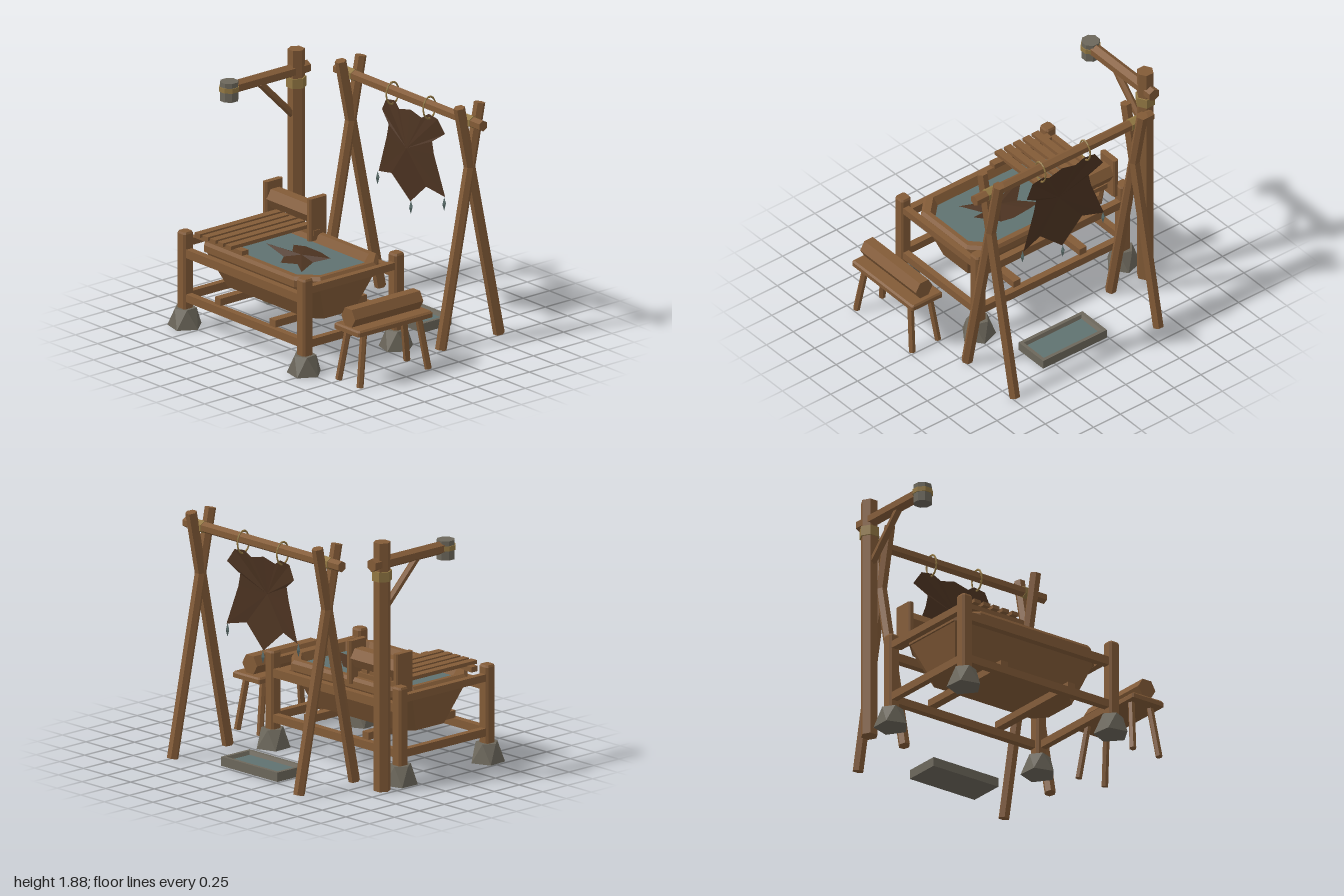
import * as THREE from 'three';
import { ConvexGeometry } from 'three/addons/geometries/ConvexGeometry.js';

const V = (x, y, z) => new THREE.Vector3(x, y, z);

export function createModel() {
  const root = new THREE.Group();
  const mat = (name, color, side = THREE.FrontSide) => {
    const m = new THREE.MeshStandardMaterial({ color, side });
    m.name = name;
    return m;
  };
  const wood = mat('wood', 0x835b37);
  const hide = mat('hide', 0x4c3321, THREE.DoubleSide);
  const stone = mat('stone', 0x6c675b);
  const rope = mat('rope', 0x937843);
  const liquid = mat('liquid', 0x5f7270);

  // Faceted normals for every part
  const add = (name, geo, material, parent = root) => {
    const g = geo.index ? geo.toNonIndexed() : geo;
    g.computeVertexNormals();
    const m = new THREE.Mesh(g, material);
    m.name = name;
    parent.add(m);
    return m;
  };
  const group = (name) => {
    const g = new THREE.Group();
    g.name = name;
    root.add(g);
    return g;
  };
  // Box given by its limits
  const box = (name, x0, x1, y0, y1, z0, z1, material, parent) =>
    add(name, new THREE.BoxGeometry(x1 - x0, y1 - y0, z1 - z0)
      .translate((x0 + x1) / 2, (y0 + y1) / 2, (z0 + z1) / 2), material, parent);
  // Many-sided log between two points
  const log = (name, a, b, r, material, parent, spin = 0, sides = 6) => {
    const d = b.clone().sub(a);
    const g = new THREE.CylinderGeometry(r, r, d.length(), sides).rotateY(spin);
    g.applyQuaternion(new THREE.Quaternion().setFromUnitVectors(V(0, 1, 0), d.clone().normalize()));
    const c = a.clone().add(b).multiplyScalar(0.5);
    return add(name, g.translate(c.x, c.y, c.z), material, parent);
  };
  // Loft of rectangles with cut corners; rings are [y, halfX, halfZ, cut]
  const loft = (cx, cz, rings, capBottom = true, capTop = true) => {
    const loops = rings.map(([y, w, d, c]) => [
      [w - c, d], [w, d - c], [w, c - d], [w - c, -d], [c - w, -d], [-w, c - d], [-w, d - c], [c - w, d],
    ].map(([x, z]) => [cx + x, y, cz + z]));
    const p = [];
    for (let i = 0; i < loops.length - 1; i++) {
      for (let j = 0; j < 8; j++) {
        const k = (j + 1) % 8, a = loops[i][j], b = loops[i][k], c = loops[i + 1][k], d = loops[i + 1][j];
        p.push(...a, ...b, ...c, ...a, ...c, ...d);
      }
    }
    const last = loops.length - 1;
    for (let j = 0; j < 8; j++) {
      const k = (j + 1) % 8;
      if (capBottom) p.push(cx, rings[0][0], cz, ...loops[0][k], ...loops[0][j]);
      if (capTop) p.push(cx, rings[last][0], cz, ...loops[last][j], ...loops[last][k]);
    }
    return new THREE.BufferGeometry().setAttribute('position', new THREE.Float32BufferAttribute(p, 3));
  };
  // Fan of facets around a centre
  const fan = (c, pts) => {
    const p = [];
    pts.forEach((a, i) => p.push(...c, ...a, ...pts[(i + 1) % pts.length]));
    return new THREE.BufferGeometry().setAttribute('position', new THREE.Float32BufferAttribute(p, 3));
  };
  const HEX = Math.PI / 6;

  // Vat frame: posts on stones, rails, joists
  const frame = group('vatFrame');
  const X0 = -0.882, X1 = 0.465, Z0 = -0.108, Z1 = 0.765;
  [[X0, Z0], [X1, Z0], [X0, Z1], [X1, Z1]].forEach(([x, z], n) => {
    add('framePost', loft(x, z, [[0.08, 0.046, 0.046, 0.015], [0.72, 0.046, 0.046, 0.015], [0.735, 0.038, 0.038, 0.012]]), wood, frame);
    const pts = [];
    for (let i = 0; i < 5; i++) {
      const a = (i / 5) * Math.PI * 2 + n * 1.3 + 0.3, b = a + Math.PI / 5;
      pts.push(V(x + 0.132 * Math.sin(a), 0, z + 0.132 * Math.cos(a)));
      pts.push(V(x + 0.085 * Math.sin(b), 0.145, z + 0.085 * Math.cos(b)));
    }
    add('footStone', new ConvexGeometry(pts), stone, frame);
  });
  for (const z of [Z0 - 0.01, Z1 + 0.003]) {
    box('lowerRail', X0, X1, 0.2, 0.26, z - 0.027, z + 0.027, wood, frame);
    box('upperRail', X0, X1, 0.54, 0.605, z - 0.027, z + 0.027, wood, frame);
  }
  for (const x of [X0 - 0.008, X1 + 0.01]) {
    box('lowerSideRail', x - 0.025, x + 0.025, 0.2, 0.26, Z0, Z1, wood, frame);
    box('upperSideRail', x - 0.025, x + 0.025, 0.615, 0.67, Z0, Z1, wood, frame);
  }
  for (const x of [-0.515, 0.1]) box('joist', x - 0.033, x + 0.033, 0.26, 0.315, Z0, Z1, wood, frame);

  // Vat with flared hull, rim and liquid
  const vat = group('vat');
  const vx = -0.205, vz = 0.325;
  add('vatHull', loft(vx, vz, [
    [0.315, 0.535, 0.23, 0.09], [0.61, 0.63, 0.385, 0.12], [0.61, 0.645, 0.405, 0.14],
    [0.66, 0.645, 0.405, 0.14], [0.685, 0.625, 0.39, 0.135], [0.685, 0.59, 0.345, 0.125], [0.61, 0.56, 0.31, 0.115],
  ], true, false), wood, vat);
  add('vatLiquid', loft(vx, vz, [[0.615, 0.566, 0.316, 0.117], [0.622, 0.566, 0.316, 0.117]]), liquid, vat);

  // Hide soaking in the vat, two tips curled up
  add('soakingHide', fan([-0.085, 0.665, 0.33], [
    [-0.34, 0.64, 0.19], [-0.235, 0.65, 0.163], [-0.075, 0.645, 0.155], [0.02, 0.645, 0.176],
    [0.19, 0.7, 0.285], [0.045, 0.64, 0.33], [0.14, 0.635, 0.52], [0.01, 0.645, 0.45],
    [-0.115, 0.635, 0.505], [-0.18, 0.645, 0.42], [-0.37, 0.7, 0.43], [-0.225, 0.645, 0.3],
  ].reverse()), hide, vat);

  // Slatted work surface with a backrest log
  const rack = group('slatRack');
  for (const z of [0.0, 0.685]) box('ledger', -0.835, -0.3, 0.68, 0.72, z - 0.03, z + 0.03, wood, rack);
  for (let i = 0; i < 5; i++) {
    const x = -0.755 + i * 0.0865;
    box('slat', x - 0.03, x + 0.03, 0.717, 0.745, -0.02, 0.755, wood, rack);
  }
  for (const x of [-0.825, -0.33]) {
    add('rackEndBoard', loft(x, -0.023, [[0.64, 0.023, 0.084, 0.012], [0.965, 0.023, 0.084, 0.012]]), wood, rack);
  }
  log('rackLog', V(-0.81, 0.835, -0.023), V(-0.34, 0.835, -0.023), 0.08, wood, rack);

  // Crane: post, arm, brace, weight
  const crane = group('crane');
  const cx = -0.92, cz = -0.325;
  log('cranePost', V(cx, 0, cz), V(cx, 1.88, cz), 0.064, wood, crane, HEX);
  log('postLashing', V(cx, 1.59, cz), V(cx, 1.665, cz), 0.076, rope, crane, HEX);
  log('craneArm', V(cx, 1.72, -0.43), V(cx, 1.72, 0.36), 0.05, wood, crane);
  log('craneBrace', V(cx, 1.69, 0.02), V(cx, 1.36, -0.31), 0.028, wood, crane);
  log('craneWeight', V(cx, 1.63, 0.313), V(cx, 1.775, 0.313), 0.07, stone, crane, Math.PI / 8, 8);
  log('weightBand', V(cx, 1.702, 0.313), V(cx, 1.738, 0.313), 0.077, rope, crane, Math.PI / 8, 8);

  // Drying rack: crossed legs and ridge pole
  const dry = group('dryingRack');
  for (const x of [-0.61, 0.727]) {
    log('crossedLeg', V(x, 0.005, -0.31), V(x, 1.833, -0.68), 0.043, wood, dry, HEX);
    log('crossedLeg', V(x, 0.005, -0.865), V(x, 1.833, -0.485), 0.043, wood, dry, HEX);
    log('poleLashing', V(x - 0.046, 1.71, -0.585), V(x + 0.046, 1.71, -0.585), 0.047, rope, dry, HEX);
  }
  log('ridgePole', V(-0.77, 1.71, -0.585), V(0.88, 1.71, -0.585), 0.042, wood, dry, HEX);
  for (const x of [-0.148, 0.268]) {
    add('hangingRing', new THREE.TorusGeometry(1, 0.1, 5, 14).scale(0.06, 0.085, 0.07)
      .rotateY(Math.PI / 2).translate(x, 1.685, -0.59), rope, dry);
  }

  // Hanging hide, mirrored about its middle, with drops on the tips
  const hx = 0.06;
  const half = [[0.125, 1.585, -0.585], [0.19, 1.63, -0.6], [0.29, 1.615, -0.6], [0.355, 1.515, -0.615],
    [0.245, 1.435, -0.585], [0.265, 1.34, -0.585], [0.375, 1.035, -0.6], [0.195, 1.075, -0.57]];
  const side = (s) => half.map(([x, y, z]) => [hx + s * x, y, z]);
  add('hangingHide', fan([hx, 1.325, -0.547],
    [[hx, 1.615, -0.585], ...side(1), [hx, 0.905, -0.585], ...side(-1).reverse()].reverse()), hide, dry);
  for (const [x, y] of [[-0.315, 0.985], [0.435, 0.985], [hx, 0.858]]) {
    add('drop', new THREE.OctahedronGeometry(1).scale(0.017, 0.053, 0.017).translate(x, y, -0.59), liquid, dry);
  }

  // Shallow tray under the hide
  const tray = group('dripTray');
  const tx = 0.0575, tz = -0.5875;
  add('trayBody', loft(tx, tz, [[0, 0.297, 0.143, 0.001], [0.07, 0.297, 0.143, 0.001],
    [0.07, 0.27, 0.116, 0.001], [0.035, 0.25, 0.1, 0.001]], true, false), stone, tray);
  box('trayLiquid', tx - 0.257, tx + 0.257, 0.036, 0.044, tz - 0.106, tz + 0.106, liquid, tray);

  // Bench with splayed legs and a log on top
  const bench = group('bench');
  const bx = 0.855, bz = 0.345;
  add('benchSeat', loft(bx, bz, [[0.4, 0.143, 0.355, 0.01], [0.432, 0.143, 0.355, 0.01], [0.445, 0.13, 0.345, 0.01]]), wood, bench);
  for (const s of [-1, 1]) for (const t of [-1, 1]) {
    log('benchLeg', V(bx + s * 0.12, 0.003, bz + t * 0.325), V(bx + s * 0.085, 0.41, bz + t * 0.26), 0.026, wood, bench, HEX);
  }
  log('benchLog', V(bx, 0.515, 0.03), V(bx, 0.515, 0.68), 0.078, wood, bench, HEX);

  return root;
}
